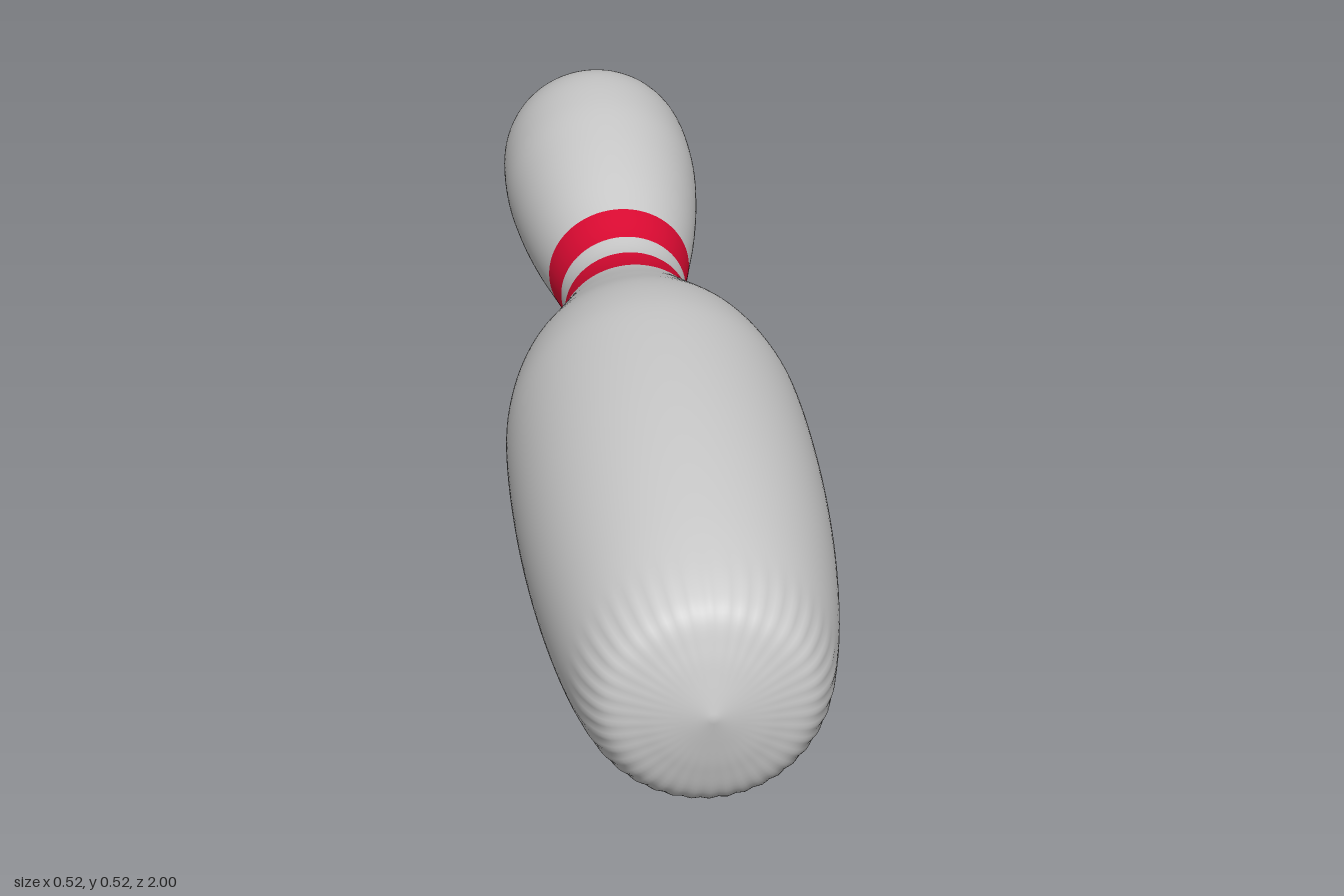
import * as THREE from 'three';
import { mergeVertices } from 'three/addons/utils/BufferGeometryUtils.js';

// Profile from head (z = -1) to base (z = 1) as [z, radius]
const PROFILE = [
  [-1, 0], [-0.993, 0.05], [-0.975, 0.095], [-0.945, 0.129], [-0.9, 0.149], [-0.8, 0.158],
  [-0.7, 0.152], [-0.6, 0.138], [-0.5, 0.118], [-0.43, 0.105], [-0.38, 0.104], [-0.31, 0.121],
  [-0.2, 0.17], [-0.1, 0.215], [0, 0.242], [0.1, 0.254], [0.35, 0.262], [0.6, 0.253],
  [0.8, 0.231], [0.9, 0.207], [0.945, 0.178], [0.97, 0.118], [0.985, 0.06], [0.998, 0],
];
const RADIUS = 0.262;
const STEPS = 6;    // rings per profile interval
const SIDES = 160;
const RIBS = 40;

const curve = new THREE.CatmullRomCurve3(
  PROFILE.map(([z, r]) => new THREE.Vector3(r, z, 0)), false, 'centripetal');

// Turned piece between the profile points at the two given z positions
function section(name, zStart, zEnd, color) {
  const index = (z) => PROFILE.findIndex((p) => p[0] === z);
  const points = [];
  for (let i = index(zStart) * STEPS; i <= index(zEnd) * STEPS; i++) {
    const p = curve.getPoint(i / ((PROFILE.length - 1) * STEPS));
    points.push(new THREE.Vector2(Math.max(p.x, 0), p.y));
  }
  let geo = new THREE.LatheGeometry(points, SIDES);
  geo.rotateX(Math.PI / 2);

  // Fine radial ribs around the base corner
  const pos = geo.attributes.position;
  for (let i = 0; i < pos.count; i++) {
    const x = pos.getX(i), y = pos.getY(i), z = pos.getZ(i);
    const r = Math.hypot(x, y);
    if (z < 0.8 || r < 0.03) continue;
    const fade = THREE.MathUtils.smoothstep(z, 0.8, 0.93) * THREE.MathUtils.smoothstep(r, 0.03, 0.15);
    const k = 1 + 0.008 * fade * Math.cos(RIBS * Math.atan2(y, x));
    pos.setXY(i, x * k, y * k);
  }

  // Weld the lathe seam so the shading stays smooth
  geo.deleteAttribute('uv');
  geo.deleteAttribute('normal');
  geo = mergeVertices(geo, 1e-5);
  geo.computeVertexNormals();
  const mesh = new THREE.Mesh(geo, new THREE.MeshStandardMaterial({ color }));
  mesh.name = name;
  mesh.position.y = RADIUS;
  return mesh;
}

export function createModel() {
  const pin = new THREE.Group();
  pin.name = 'bowlingPin';
  const GREY = 0xcccccc, RED = 0xdc0a32;
  pin.add(
    section('head', -1, -0.5, GREY),
    section('upperStripe', -0.5, -0.43, RED),
    section('neck', -0.43, -0.38, GREY),
    section('lowerStripe', -0.38, -0.31, RED),
    section('body', -0.31, 0.998, GREY),
  );
  return pin;
}
